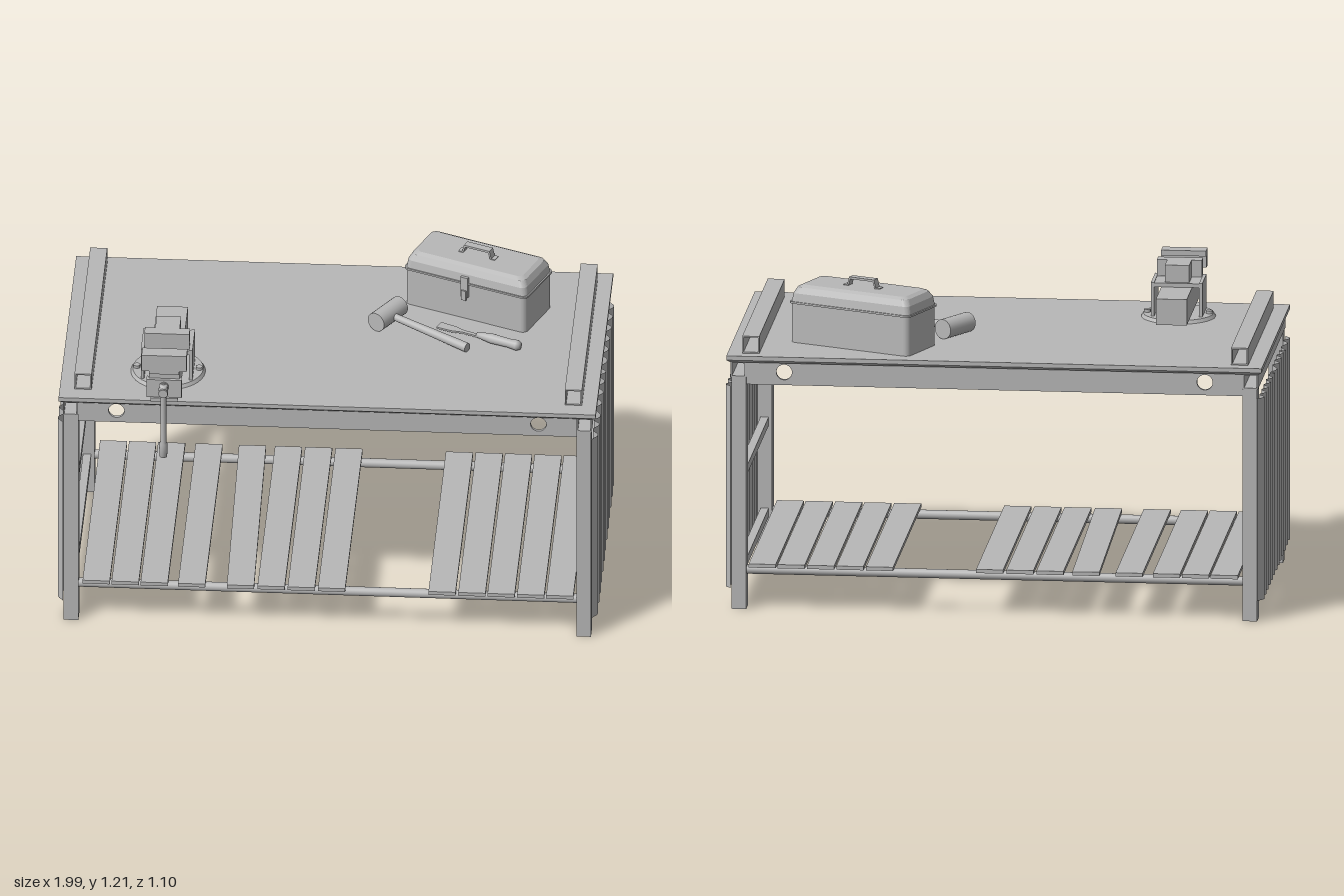
import * as THREE from 'three';

export function createModel() {
  const root = new THREE.Group();
  const grey = new THREE.MeshStandardMaterial({ color: 0xb8b8b8 });
  grey.name = 'plain grey';
  const sheetGrey = grey;
  sheetGrey.side = THREE.DoubleSide;

  const add = (name, geo, x = 0, y = 0, z = 0, parent = root) => {
    const m = new THREE.Mesh(geo, grey);
    m.name = name;
    m.position.set(x, y, z);
    parent.add(m);
    return m;
  };
  // Box given by its limits on each axis
  const box = (name, x0, x1, y0, y1, z0, z1, parent = root) =>
    add(name, new THREE.BoxGeometry(x1 - x0, y1 - y0, z1 - z0),
      (x0 + x1) / 2, (y0 + y1) / 2, (z0 + z1) / 2, parent);
  const group = (name, x, y, z, turn = 0) => {
    const g = new THREE.Group();
    g.name = name;
    g.position.set(x, y, z);
    g.rotation.y = turn;
    root.add(g);
    return g;
  };
  const rectPath = (p, w, h) => p.moveTo(-w / 2, -h / 2).lineTo(w / 2, -h / 2)
    .lineTo(w / 2, h / 2).lineTo(-w / 2, h / 2).closePath();
  // Hollow square tube running along z
  const tube = (name, x, y, w, h, z0, z1) => {
    const s = rectPath(new THREE.Shape(), w, h);
    s.holes.push(rectPath(new THREE.Path(), w - 0.01, h - 0.01));
    add(name, new THREE.ExtrudeGeometry(s, { depth: z1 - z0, bevelEnabled: false }), x, y, z0);
  };
  // Round bar along x, from x0 to x1
  const barX = (name, r0, r1, x0, x1, y, z, parent = root) => {
    const g = new THREE.CylinderGeometry(r1, r0, x1 - x0, 20).rotateZ(-Math.PI / 2);
    return add(name, g, (x0 + x1) / 2, y, z, parent);
  };

  // Table top with a chamfered lower edge
  box('tableTop', -0.99, 0.99, 0.944, 0.96, -0.545, 0.475);
  const lip = new THREE.BoxGeometry(1.98, 0.01, 1.02);
  const lp = lip.attributes.position;
  for (let i = 0; i < lp.count; i++) {
    if (lp.getY(i) < 0) { lp.setX(i, lp.getX(i) * 0.988); lp.setZ(i, lp.getZ(i) * 0.976); }
  }
  lip.computeVertexNormals();
  add('tableTopLip', lip, 0, 0.939, -0.035);

  // Long aprons, drilled near both ends
  const apron = rectPath(new THREE.Shape(), 1.84, 0.085);
  for (const x of [-0.778, 0.778]) {
    apron.holes.push(new THREE.Path().absarc(x, 0.006, 0.029, 0, Math.PI * 2));
  }
  const apronGeo = new THREE.ExtrudeGeometry(apron, { depth: 0.012, bevelEnabled: false, curveSegments: 16 });
  add('frontApron', apronGeo, 0, 0.8925, 0.44);
  add('backApron', apronGeo, 0, 0.8925, -0.525);

  for (const s of [-1, 1]) {
    // Legs and side rails
    for (const z of [0.426, -0.498]) {
      box('leg', s * 0.945 - 0.027, s * 0.945 + 0.027, 0, 0.877, z - 0.032, z + 0.032);
    }
    tube('topSideRail', s * 0.947, 0.906, 0.056, 0.058, -0.53, 0.46);
    for (const y of [0.145, 0.49]) {
      box('sideRail', s * 0.945 - 0.015, s * 0.945 + 0.015, y - 0.016, y + 0.016, -0.47, 0.4);
    }
    // Hollow rail lying on the table top
    tube('tableRail', s * 0.904, 0.993, 0.063, 0.065, -0.5, 0.41);

    // Corrugated side sheet with slightly bent edges
    const sheet = new THREE.PlaneGeometry(1.006, 0.765, 156, 6).rotateY(s * Math.PI / 2);
    const p = sheet.attributes.position;
    const dent = (z, c) => Math.max(0, 1 - Math.abs(z - c) / 0.06);
    for (let i = 0; i < p.count; i++) {
      const z = p.getZ(i), y = p.getY(i);
      p.setX(i, s * 0.011 * Math.cos(z / 1.006 * 13 * Math.PI * 2));
      if (y > 0.38) p.setY(i, y - 0.01 * (dent(z, 0.32) + dent(z, -0.03)));
      if (y < -0.38) p.setY(i, y + 0.009 * dent(z, 0.42));
    }
    sheet.computeVertexNormals();
    add('corrugatedSide', sheet, s * 0.985, 0.4625, -0.041);
  }

  // Lower shelf: round rails and loose slats
  for (const z of [0.426, -0.498]) barX('shelfRail', 0.017, 0.017, -0.93, 0.93, 0.144, z);
  const slats = [-0.852, -0.745, -0.638, -0.5, -0.33, -0.207, -0.096, 0.016, 0.423, 0.533, 0.641, 0.75, 0.857];
  slats.forEach((x, i) => {
    const slat = box('shelfSlat', x - 0.05, x + 0.05, 0.161, 0.175, -0.545, 0.464);
    if (i === 4) slat.rotation.y = 0.02;
  });

  // Bench vise
  const vise = group('vise', -0.6, 0, 0);
  add('viseBase', new THREE.CylinderGeometry(0.13, 0.138, 0.013, 32), 0, 0.966, 0.256, vise);
  for (const x of [-0.115, 0.115]) {
    add('viseBolt', new THREE.CylinderGeometry(0.014, 0.014, 0.012, 6), x, 0.977, 0.256, vise);
  }
  box('viseSlide', -0.057, 0.057, 0.985, 1.083, 0, 0.48, vise);
  box('viseFoot', -0.045, 0.045, 0.965, 0.99, 0.2, 0.33, vise);
  for (const s of [-1, 1]) {
    const x = s * 0.089;
    box('viseBracketSide', x - 0.006, x + 0.006, 0.968, 1.1, 0.19, 0.34, vise);
  }
  box('viseBracketTop', -0.095, 0.095, 1.083, 1.098, 0.19, 0.34, vise);
  box('fixedJaw', -0.045, 0.045, 1.098, 1.163, 0.205, 0.3, vise);
  box('fixedJawPlate', -0.083, 0.083, 1.1, 1.163, 0.29, 0.333, vise);
  box('movingJawStem', -0.055, 0.055, 1.083, 1.1, 0.445, 0.49, vise);
  box('movingJaw', -0.083, 0.083, 1.097, 1.163, 0.452, 0.492, vise);
  box('movingJawPlate', -0.083, 0.083, 1.143, 1.163, 0.437, 0.452, vise);
  box('movingJawFront', -0.065, 0.065, 0.985, 1.06, 0.465, 0.492, vise);
  box('movingJawFoot', -0.05, 0.05, 0.972, 0.987, 0.41, 0.5, vise);
  add('viseScrew', new THREE.CylinderGeometry(0.017, 0.017, 0.07, 20).rotateX(Math.PI / 2), 0, 1.034, 0.515, vise);
  // Hanging handle with end caps, turned as one profile
  const handle = [[0, 0.757], [0.014, 0.757], [0.016, 0.812], [0.011, 0.817], [0.011, 1.018],
    [0.018, 1.022], [0.018, 1.046], [0.013, 1.05], [0.016, 1.06], [0, 1.062]];
  add('viseHandle', new THREE.LatheGeometry(handle.map(q => new THREE.Vector2(...q)), 16), 0, 0, 0.53, vise);

  // Toolbox, built from rounded slabs stacked upwards
  const toolbox = group('toolbox', 0.509, 0.96, -0.293, -0.393);
  const slab = (name, w, d, y0, y1, taper = 1) => {
    const r = 0.022, a = w / 2 - r, b = d / 2 - r;
    const s = new THREE.Shape();
    s.absarc(a, b, r, 0, Math.PI / 2);
    s.absarc(-a, b, r, Math.PI / 2, Math.PI);
    s.absarc(-a, -b, r, Math.PI, Math.PI * 1.5);
    s.absarc(a, -b, r, Math.PI * 1.5, Math.PI * 2);
    const g = new THREE.ExtrudeGeometry(s, { depth: y1 - y0, bevelEnabled: false, curveSegments: 6 }).rotateX(-Math.PI / 2);
    const p = g.attributes.position;
    for (let i = 0; i < p.count; i++) {
      if (p.getY(i) > (y1 - y0) / 2) {
        p.setX(i, p.getX(i) - Math.sign(p.getX(i)) * (1 - taper));
        p.setZ(i, p.getZ(i) - Math.sign(p.getZ(i)) * (1 - taper));
      }
    }
    g.computeVertexNormals();
    add(name, g, 0, y0, 0, toolbox);
  };
  slab('toolboxBody', 0.495, 0.222, 0, 0.147);
  slab('toolboxSeam', 0.505, 0.232, 0.147, 0.154);
  slab('toolboxLid', 0.495, 0.222, 0.154, 0.185, 0.995);
  slab('toolboxLidEdge', 0.485, 0.212, 0.185, 0.207, 0.988);
  slab('toolboxLidTop', 0.461, 0.188, 0.207, 0.215, 0.984);
  box('toolboxLatch', -0.015, 0.015, 0.095, 0.178, 0.11, 0.121, toolbox);
  box('toolboxLatchTab', -0.01, 0.01, 0.085, 0.125, 0.12, 0.127, toolbox);
  // Carrying handle: a bent strap
  const strap = new THREE.Shape();
  [[-0.075, 0.213], [-0.055, 0.213], [-0.047, 0.24], [0.047, 0.24], [0.055, 0.213], [0.075, 0.213],
    [0.075, 0.218], [0.06, 0.218], [0.052, 0.248], [-0.052, 0.248], [-0.06, 0.218], [-0.075, 0.218]]
    .forEach((q, i) => (i ? strap.lineTo(...q) : strap.moveTo(...q)));
  add('toolboxHandle', new THREE.ExtrudeGeometry(strap, { depth: 0.03, bevelEnabled: false }), 0, 0, -0.015, toolbox);

  // Mallet lying on the table
  const mallet = group('mallet', 0.185, 0.96, -0.14, -0.56);
  add('malletHead', new THREE.CylinderGeometry(0.037, 0.037, 0.15, 24).rotateX(Math.PI / 2), 0, 0.038, 0, mallet);
  const shaft = barX('malletHandle', 0.013, 0.018, 0, 0.36, 0.028, 0, mallet);
  shaft.rotation.z = -0.055;

  // Chisel: flared flat blade and turned grip
  const chisel = group('chisel', 0.375, 0.96, -0.107, -0.42);
  const blade = new THREE.Shape();
  blade.moveTo(0, -0.02).lineTo(0.06, -0.018).lineTo(0.1, -0.008).lineTo(0.17, -0.008)
    .lineTo(0.17, 0.008).lineTo(0.1, 0.008).lineTo(0.06, 0.018).lineTo(0, 0.02).closePath();
  add('chiselBlade', new THREE.ExtrudeGeometry(blade, { depth: 0.007, bevelEnabled: false }).rotateX(-Math.PI / 2), 0, 0.012, 0, chisel);
  const grip = [[0, 0.16], [0.011, 0.16], [0.014, 0.185], [0.019, 0.22], [0.017, 0.29], [0.02, 0.325], [0.014, 0.338], [0, 0.338]];
  add('chiselGrip', new THREE.LatheGeometry(grip.map(q => new THREE.Vector2(...q)), 16).rotateZ(-Math.PI / 2), 0, 0.02, 0, chisel);

  return root;
}
